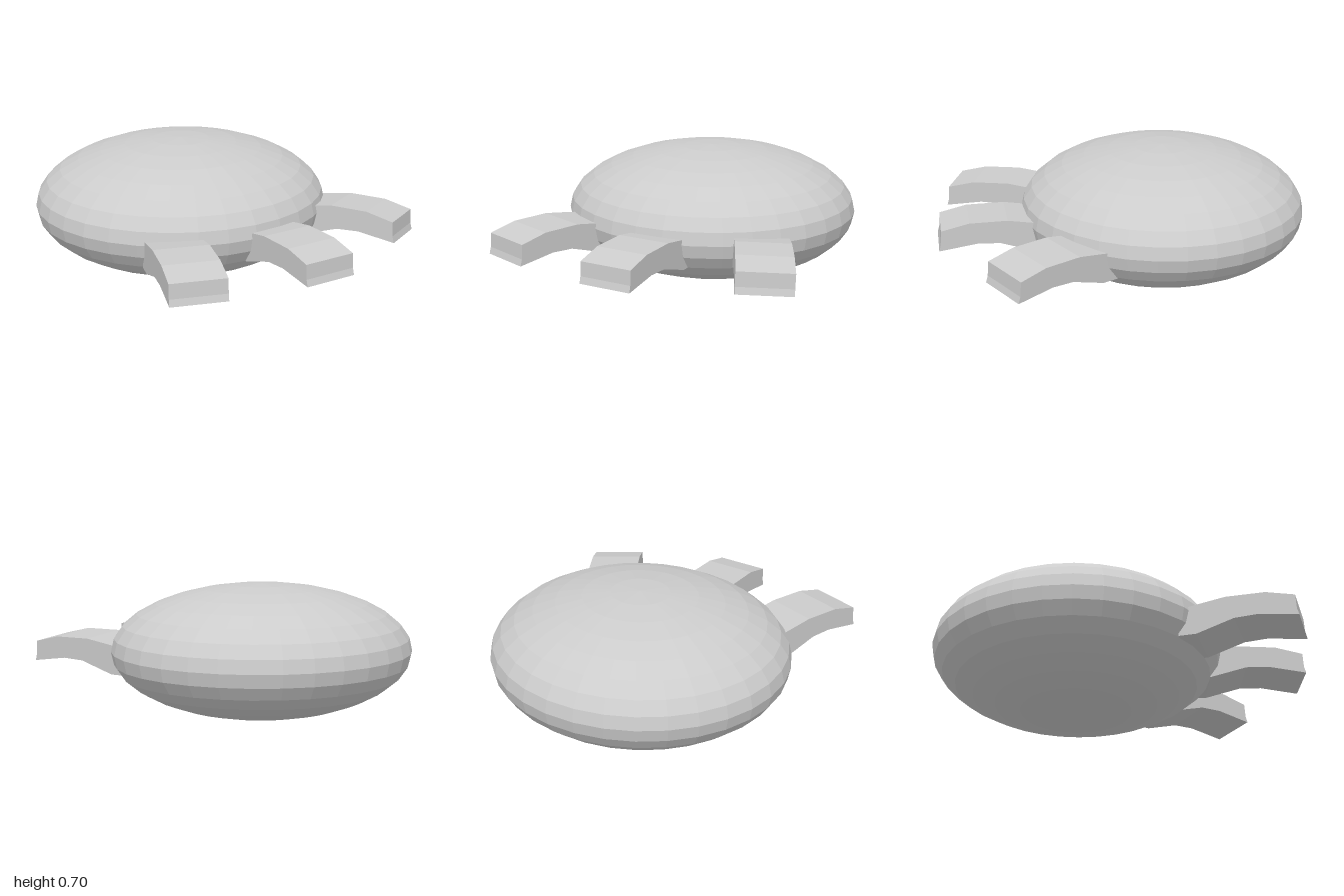
import * as THREE from 'three';

const grey = new THREE.MeshStandardMaterial({ color: 0xcccccc, flatShading: true });

// Arched toe: side profile (distance from tip, height about y = 0.3) extruded across its width
function toeGeometry(width) {
  const profile = [
    [0, -0.045], [-0.2, -0.015], [-0.32, -0.02], [-0.51, -0.08], [-0.6, -0.08],
    [-0.6, 0.065], [-0.51, 0.08], [-0.36, 0.103], [-0.16, 0.1], [-0.014, 0.065], [-0.01, -0.01],
  ];
  const shape = new THREE.Shape(profile.map(([z, y]) => new THREE.Vector2(z, y)));
  const geometry = new THREE.ExtrudeGeometry(shape, { depth: width, bevelEnabled: false });
  geometry.translate(0, 0, -width / 2);
  geometry.rotateY(-Math.PI / 2);
  return geometry;
}

export function createModel() {
  const group = new THREE.Group();
  group.name = 'foot';

  // Flattened faceted body
  const body = new THREE.Mesh(new THREE.SphereGeometry(1, 32, 16), grey);
  body.name = 'body';
  body.scale.set(0.8, 0.35, 0.77);
  body.position.set(-0.08, 0.355, -0.23);
  group.add(body);

  // Three toes fanned out at the front: tip x, tip z, yaw, roll (degrees)
  const geometry = toeGeometry(0.284);
  const toes = [
    ['rightToe', -0.633, 0.902, -16.5, 0],
    ['middleToe', 0.051, 0.99, 2, 0],
    ['leftToe', 0.753, 0.682, 30.8, -2.5],
  ];
  for (const [name, x, z, yaw, roll] of toes) {
    const toe = new THREE.Mesh(geometry, grey);
    toe.name = name;
    toe.position.set(x, 0.3, z);
    toe.rotation.set(0, THREE.MathUtils.degToRad(yaw), THREE.MathUtils.degToRad(roll), 'YXZ');
    group.add(toe);
  }
  return group;
}
